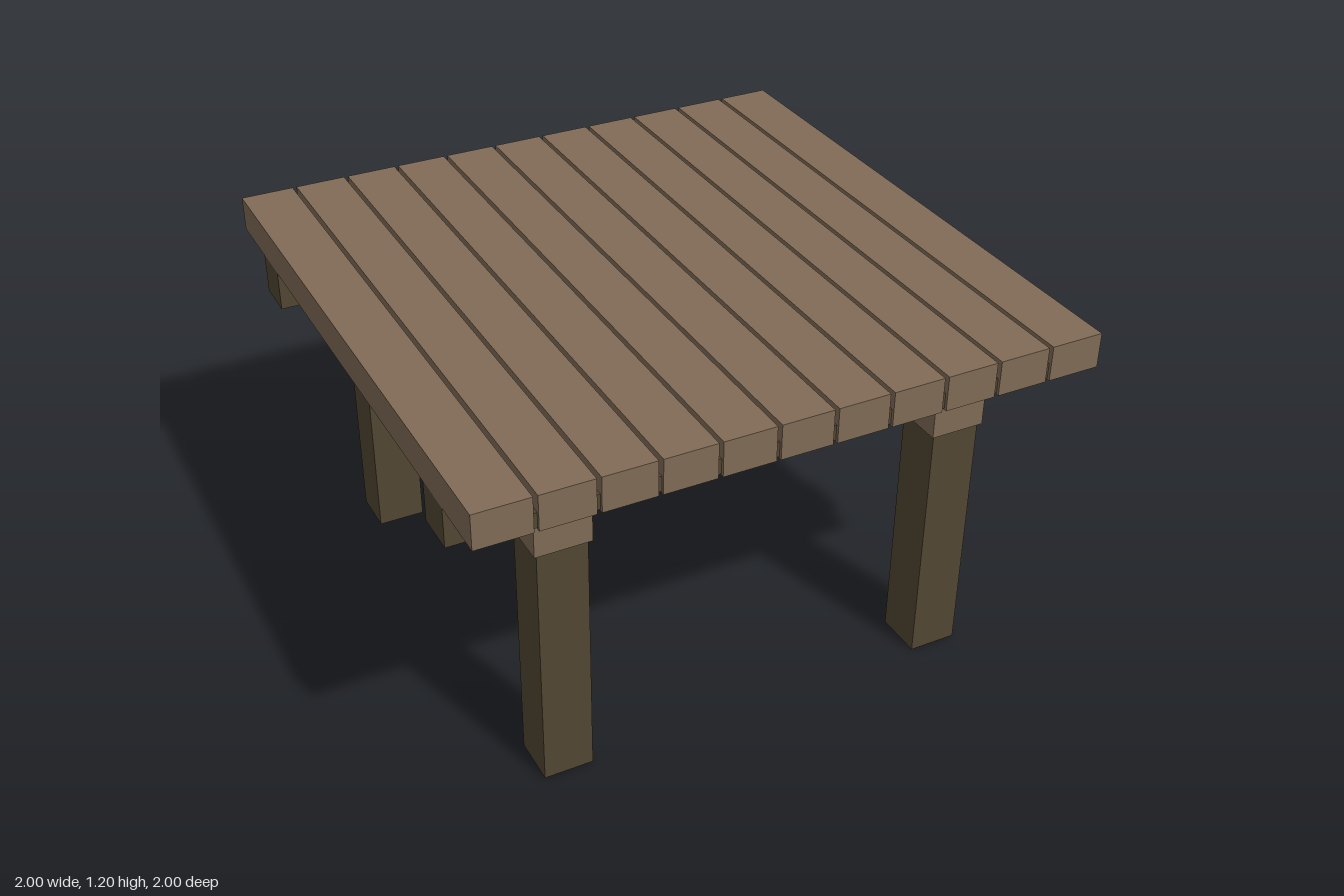
import * as THREE from 'three';

export function createModel() {
  const model = new THREE.Group();
  const lightWood = new THREE.MeshStandardMaterial({ color: 0x806b56 });
  lightWood.name = 'lightWood';
  const darkWood = new THREE.MeshStandardMaterial({ color: 0x524633 });
  darkWood.name = 'darkWood';

  // Box standing with its underside at y
  function block(name, material, w, h, d, x, y, z) {
    const mesh = new THREE.Mesh(new THREE.BoxGeometry(w, h, d), material);
    mesh.name = name;
    mesh.position.set(x, y + h / 2, z);
    model.add(mesh);
  }

  // Table top: eleven planks with recessed dark strips in the gaps
  const count = 11, pitch = 2 / count, gap = 0.014;
  for (let i = 0; i < count; i++) {
    const left = -1 + i * pitch + (i > 0 ? gap / 2 : 0);
    const right = -1 + (i + 1) * pitch - (i < count - 1 ? gap / 2 : 0);
    block('plank', lightWood, right - left, 0.115, 2, (left + right) / 2, 1.085, 0);
    if (i > 0) block('gapStrip', darkWood, 0.02, 0.05, 1.98, -1 + i * pitch, 1.09, 0);
  }

  // Cross beams under the planks, front and back
  for (const z of [-0.72, 0.72]) block('crossBeam', darkWood, 2, 0.134, 0.14, 0, 0.953, z);

  // Side rails capping the legs
  for (const x of [-0.66, 0.66]) {
    block('sideRail', lightWood, 0.18, 0.12, 1.62, x, 0.845, 0);
    for (const z of [-0.72, 0.72]) block('leg', darkWood, 0.16, 0.98, 0.16, x, 0, z);
  }
  return model;
}
